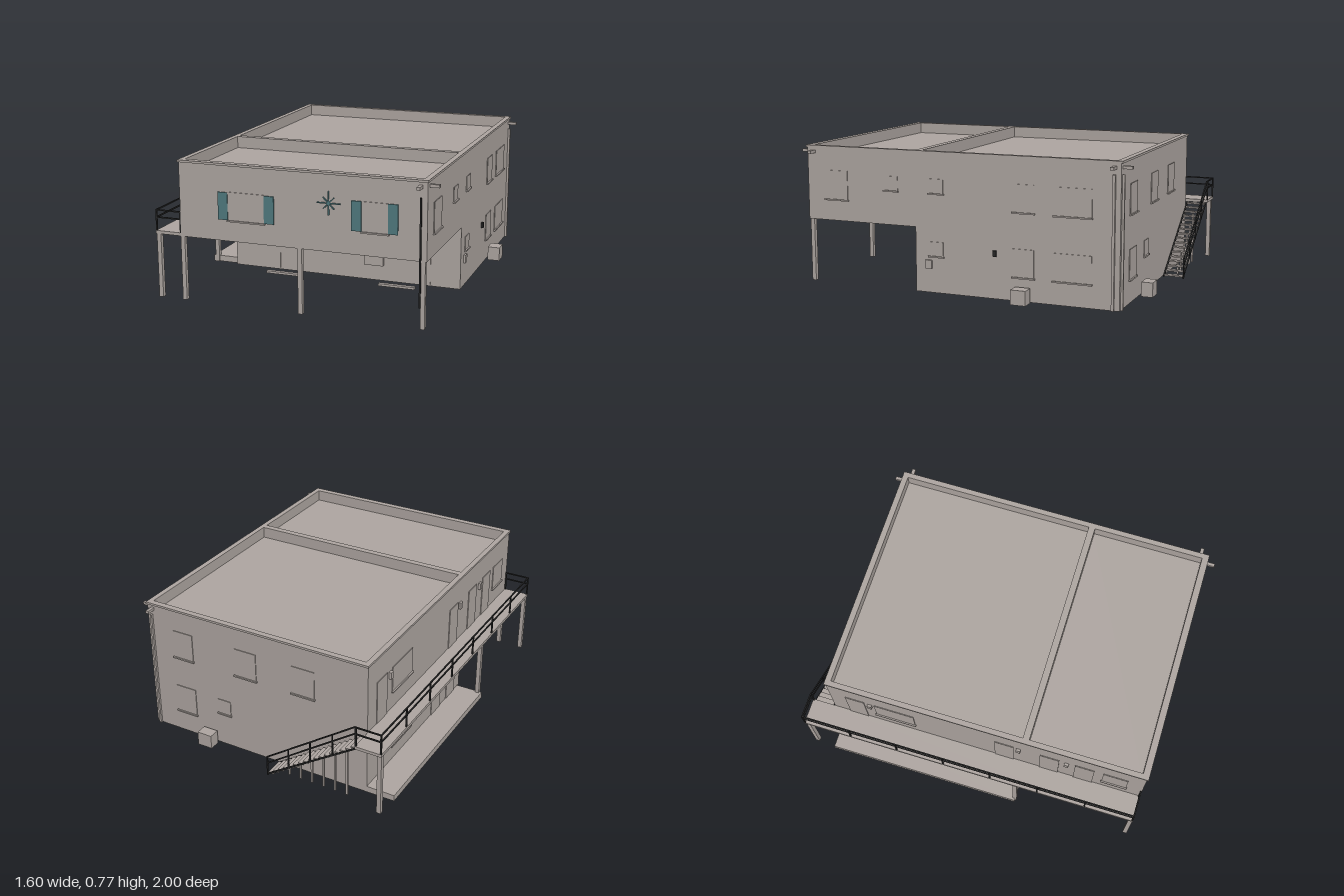
import * as THREE from 'three';

const mat = (name, color) => {
  const m = new THREE.MeshStandardMaterial({ color });
  m.name = name;
  return m;
};

export function createModel() {
  const root = new THREE.Group();
  root.name = 'house';
  const wall = mat('warm grey', 0xaea6a1);
  const teal = mat('teal', 0x4f797e);
  const dark = mat('dark metal', 0x262626);

  // Box given by its limits along each axis
  const box = (name, x0, x1, y0, y1, z0, z1, m = wall) => {
    const mesh = new THREE.Mesh(new THREE.BoxGeometry(x1 - x0, y1 - y0, z1 - z0), m);
    mesh.position.set((x0 + x1) / 2, (y0 + y1) / 2, (z0 + z1) / 2);
    mesh.name = name;
    root.add(mesh);
    return mesh;
  };
  // Square bar between two points
  const bar = (name, a, b, t, m = dark) => {
    const p = new THREE.Vector3(...a), q = new THREE.Vector3(...b);
    const mesh = new THREE.Mesh(new THREE.BoxGeometry(t, t, p.distanceTo(q)), m);
    mesh.position.copy(p).add(q).multiplyScalar(0.5);
    mesh.lookAt(q);
    mesh.name = name;
    root.add(mesh);
  };

  const L = -0.64, R = 0.715, B = -0.865, F = 0.95, M = 0.285; // wall planes
  const FLOOR = 0.355, ROOF = 0.7, TOP = 0.77, T = 0.008;

  // Wall shell, open underneath
  box('backWall', L, R, 0, 0.76, B, B + T);
  box('upperFrontWall', L, R, FLOOR, 0.76, F - T, F);
  box('lowerFrontWall', L, R, 0, FLOOR, M - T, M);
  for (const [side, x] of [['left', L], ['right', R - T]]) {
    box(side + 'UpperWall', x, x + T, FLOOR, 0.76, B, F);
    box(side + 'LowerWall', x, x + T, 0, FLOOR, B, M);
  }
  box('overhangSoffit', L, R, FLOOR, FLOOR + T, M - T, F);

  // Coping ring with two openings, and the sunken roofs inside them
  const rect = (P, x0, x1, z0, z1) => {
    const p = new P();
    p.moveTo(x0, -z1);
    p.lineTo(x1, -z1);
    p.lineTo(x1, -z0);
    p.lineTo(x0, -z0);
    p.closePath();
    return p;
  };
  const outline = rect(THREE.Shape, -0.645, 0.72, -0.873, 0.957);
  for (const [name, z0, z1] of [['back', -0.84, 0.253], ['front', 0.29, 0.92]]) {
    outline.holes.push(rect(THREE.Path, -0.615, 0.69, z0, z1));
    box(name + 'Roof', -0.615, 0.69, ROOF, ROOF + 0.005, z0, z1);
    box(name + 'ParapetLeft', -0.621, -0.615, ROOF, 0.76, z0, z1);
    box(name + 'ParapetRight', 0.69, 0.696, ROOF, 0.76, z0, z1);
    box(name + 'ParapetBack', -0.615, 0.69, ROOF, 0.76, z0 - 0.006, z0);
    box(name + 'ParapetFront', -0.615, 0.69, ROOF, 0.76, z1, z1 + 0.006);
  }
  const coping = new THREE.Mesh(new THREE.ExtrudeGeometry(outline, { depth: 0.012, bevelEnabled: false }), wall);
  coping.rotation.x = -Math.PI / 2;
  coping.position.y = TOP - 0.012;
  coping.name = 'coping';
  root.add(coping);

  // Plate on a wall: a0..a1 runs along the wall, d is how far it stands out
  const plate = (name, side, a0, a1, y0, y1, d = 0.004, m = wall) => {
    const at = { front: F, porch: M, right: R, back: B, left: L }[side];
    const out = side === 'back' || side === 'left' ? -1 : 1;
    const n0 = Math.min(at, at + out * d), n1 = Math.max(at, at + out * d);
    if (side === 'left' || side === 'right') box(name, n0, n1, y0, y1, a0, a1, m);
    else box(name, a0, a1, y0, y1, n0, n1, m);
  };
  const windows = [
    ['front', -0.36, -0.155, 0.47, 0.62], ['front', 0.375, 0.515, 0.48, 0.635],
    ['right', 0.7, 0.84, 0.475, 0.635], ['right', 0.39, 0.472, 0.545, 0.622],
    ['right', 0.12, 0.203, 0.545, 0.622], ['right', -0.4, -0.28, 0.475, 0.622],
    ['right', -0.715, -0.508, 0.472, 0.62], ['right', 0.12, 0.203, 0.203, 0.28],
    ['right', -0.4, -0.28, 0.13, 0.28], ['right', -0.715, -0.508, 0.128, 0.275],
    ['back', 0.43, 0.555, 0.475, 0.635], ['back', 0.025, 0.158, 0.475, 0.635],
    ['back', -0.33, -0.195, 0.475, 0.635], ['back', 0.43, 0.555, 0.13, 0.29],
    ['back', 0.2, 0.28, 0.2, 0.285],
    ['left', -0.6, -0.37, 0.475, 0.62], ['left', 0.72, 0.86, 0.475, 0.62],
    ['left', -0.6, -0.37, 0.13, 0.28],
  ];
  for (const [side, a0, a1, y0, y1] of windows) {
    plate('window', side, a0, a1, y0, y1);
    plate('windowSill', side, a0 - 0.005, a1 + 0.005, y0 - 0.008, y0, 0.012);
  }
  plate('porchWindow', 'porch', 0.16, 0.272, 0.09, 0.195, 0.02);
  plate('meterPanel', 'porch', -0.02, 0.09, 0.18, 0.275, 0.006);
  plate('meterBox', 'right', 0.188, 0.222, 0.133, 0.18, 0.012);

  // Doors
  for (const a of [-0.475, 0.43]) plate('porchDoor', 'porch', a, a + 0.115, 0.01, 0.253);
  for (const a of [-0.77, 0.1, 0.36, 0.56]) plate('walkwayDoor', 'left', a, a + 0.11, 0.372, 0.62);
  for (const a of [-0.1, 0.1]) plate('groundDoor', 'left', a, a + 0.11, 0.035, 0.275);

  // Wall lamps
  for (const a of [-0.337, 0.393]) plate('porchLamp', 'porch', a, a + 0.014, 0.226, 0.262, 0.012, dark);
  plate('sideLamp', 'right', -0.19, -0.17, 0.23, 0.262, 0.012, dark);
  for (const a of [-0.64, 0.225, 0.5]) {
    plate('walkwayLamp', 'left', a, a + 0.025, 0.57, 0.61, 0.014);
    plate('groundLamp', 'left', a > 0.4 ? 0.05 : a, (a > 0.4 ? 0.05 : a) + 0.025, 0.23, 0.27, 0.014);
  }

  // Shutters and starburst
  for (const [a, b, y0, y1] of [[-0.415, -0.36, 0.47, 0.617], [-0.155, -0.1, 0.47, 0.617],
    [0.32, 0.375, 0.48, 0.635], [0.515, 0.566, 0.48, 0.635]]) {
    plate('shutter', 'front', a, b, y0, y1, 0.007, teal);
  }
  for (let i = 0; i < 4; i++) {
    const a = i * Math.PI / 4, r = i % 2 ? 0.042 : 0.062;
    const c = Math.cos(a) * r, s = Math.sin(a) * r;
    bar('starburstRay', [0.2 - c, 0.61 - s, F + 0.004], [0.2 + c, 0.61 + s, F + 0.004], 0.006, teal);
  }

  // Ground slab, parking stops, soffit lights and outdoor units
  box('groundSlab', -0.8, L, 0, 0.035, B, 0.265);
  for (const x of [-0.41, 0.27]) box('parkingStop', x, x + 0.21, 0, 0.013, 0.355, 0.38);
  for (const x of [-0.32, 0.36]) {
    for (const z of [0.45, 0.705]) box('soffitLight', x, x + 0.035, 0.347, FLOOR, z, z + 0.035);
  }
  box('sideUnit', 0.73, 0.8, 0, 0.08, -0.385, -0.3);
  box('backUnit', 0.288, 0.376, 0, 0.08, -0.945, -0.882);

  // Overhang and walkway posts
  const post = (x, z) => box('post', x - 0.012, x + 0.012, 0, FLOOR, z - 0.012, z + 0.012);
  for (const x of [-0.775, -0.632, 0.037, 0.695]) post(x, 0.936);
  post(-0.775, 0.26);
  post(-0.775, -0.98);

  // Raised walkway with railing
  box('walkway', -0.79, L, FLOOR, 0.372, -1, F);
  const RX = -0.786, Z0 = -0.996, Z1 = 0.945;
  for (const y of [0.445, 0.485]) {
    bar('walkwayRail', [RX, y, Z0], [RX, y, Z1], 0.007);
    bar('frontEndRail', [RX, y, Z1], [L, y, Z1], 0.007);
    bar('backEndRail', [RX, y, Z0], [L, y, Z0], 0.007);
  }
  for (let i = 0; i <= 7; i++) {
    const z = Z0 + (Z1 - Z0) * i / 7;
    bar('railPost', [RX, 0.372, z], [RX, 0.487, z], 0.008);
  }
  for (const z of [Z0, Z1]) bar('railPost', [L - 0.004, 0.372, z], [L - 0.004, 0.487, z], 0.008);

  // Open stair along the back wall
  const X0 = L, X1 = -0.11, steps = 17, run = (X1 - X0) / steps;
  for (let i = 0; i < steps; i++) {
    const y = 0.36 * (1 - (i + 0.5) / steps);
    box('stairTread', X0 + i * run, X0 + (i + 1) * run, y - 0.004, y + 0.004, -0.985, -0.88);
  }
  for (const z of [-0.988, -0.877]) bar('stairStringer', [X0, 0.352, z], [X1, 0.004, z], 0.008);
  for (const h of [0.075, 0.115]) bar('stairRail', [X0, 0.37 + h, Z0 + 0.004], [X1, h, Z0 + 0.004], 0.007);
  for (let i = 1; i <= 4; i++) {
    const x = X0 + (X1 - X0) * i / 4, y = 0.36 * (1 - i / 4);
    bar('stairRailPost', [x, y, Z0 + 0.004], [x, y + 0.117, Z0 + 0.004], 0.007);
  }
  for (let i = 0; i < 6; i++) {
    const x = -0.56 + i * 0.07, y = 0.35 * (X1 - x) / (X1 - X0);
    box('stairSupport', x - 0.005, x + 0.005, 0, y, -0.938, -0.928);
  }

  // Roof spouts and downpipes at the right-hand corners
  for (const z of [-0.83, 0.91]) box('sideSpout', R, 0.765, 0.727, 0.743, z - 0.01, z + 0.01);
  box('frontSpout', 0.672, 0.69, 0.727, 0.743, F, 1);
  box('backSpout', 0.672, 0.69, 0.727, 0.743, -0.915, B);
  bar('frontDownpipe', [0.682, 0.115, F + 0.004], [0.682, 0.68, F + 0.004], 0.008, dark);
  bar('sideDownpipe', [R + 0.006, 0, -0.83], [R + 0.006, 0.7, -0.83], 0.014, wall);
  bar('backDownpipe', [0.69, 0, B - 0.006], [0.69, 0.7, B - 0.006], 0.012, wall);
  return root;
}
